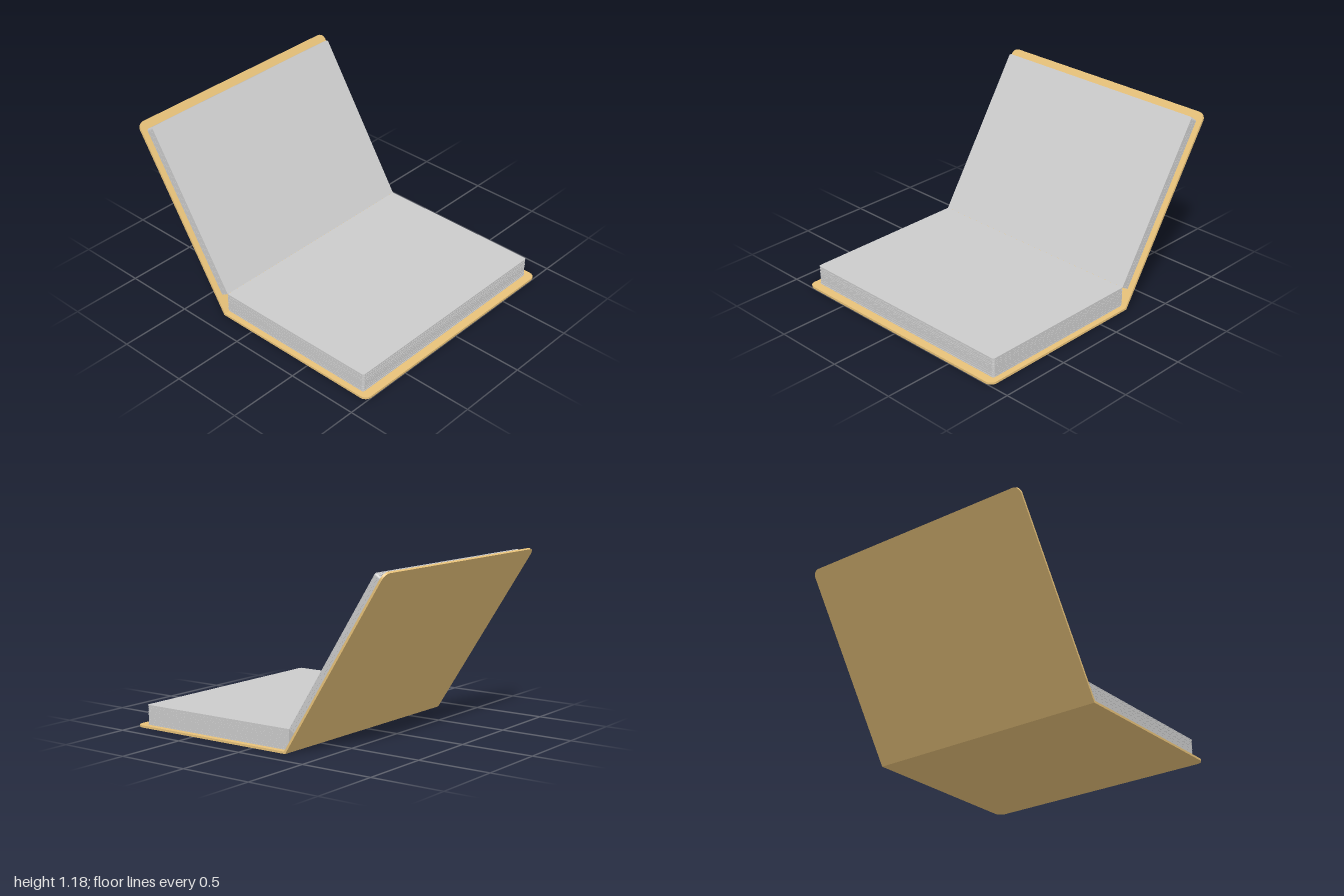
import * as THREE from 'three';

const coverMaterial = new THREE.MeshStandardMaterial({ color: 0xe8c27a });
const paperMaterial = new THREE.MeshStandardMaterial({ color: 0xcccccc });

// Small repeatable noise in the range 0..1
let seed = 7;
const noise = () => (seed = (seed * 16807) % 2147483647) / 2147483647;

// Flat slab from x0 to x1, square at the spine and rounded at the free corners
function slab(name, x0, x1, halfDepth, y, thickness, radius, material) {
  const s = new THREE.Shape();
  s.moveTo(x0, -halfDepth);
  s.lineTo(x1 - radius, -halfDepth);
  s.absarc(x1 - radius, -halfDepth + radius, radius, -Math.PI / 2, 0);
  s.lineTo(x1, halfDepth - radius);
  s.absarc(x1 - radius, halfDepth - radius, radius, 0, Math.PI / 2);
  s.lineTo(x0, halfDepth);
  s.closePath();
  const geometry = new THREE.ExtrudeGeometry(s, { depth: thickness, bevelEnabled: false, curveSegments: 6 });
  geometry.rotateX(-Math.PI / 2);
  geometry.translate(0, y, 0);
  const mesh = new THREE.Mesh(geometry, material);
  mesh.name = name;
  return mesh;
}

// Stack of touching sheets whose outer edges are very slightly uneven
function pageStack(name, x0, y0, height, count) {
  const stack = new THREE.Group();
  stack.name = name;
  const t = height / count;
  for (let i = 0; i < count; i++) {
    const inset = i === count - 1 ? 0 : noise() * 0.004;
    stack.add(slab('page', x0, x0 + 1.2 - inset, 0.825 - inset * 0.5, y0 + i * t, t, 0.015, paperMaterial));
  }
  return stack;
}

export function createModel() {
  const book = new THREE.Group();
  book.name = 'openBook';
  const hingeX = -0.26;
  const board = 0.015;

  // Half lying flat
  const flatHalf = new THREE.Group();
  flatHalf.name = 'flatHalf';
  flatHalf.add(
    slab('backCover', 0, 1.26, 0.865, 0, board, 0.05, coverMaterial),
    pageStack('thickPageStack', 0, board, 0.135, 27)
  );
  flatHalf.position.x = hingeX;

  // Raised half: its board also carries the spine strip below the pages
  const raisedHalf = new THREE.Group();
  raisedHalf.name = 'raisedHalf';
  raisedHalf.add(
    slab('frontCoverAndSpine', 0, 1.382, 0.865, 0, board, 0.05, coverMaterial),
    pageStack('thinPageStack', 0.127, board, 0.065, 13)
  );
  raisedHalf.position.x = hingeX;
  raisedHalf.rotation.set(0, Math.PI, -1.0056, 'ZYX');

  book.add(flatHalf, raisedHalf);
  return book;
}
